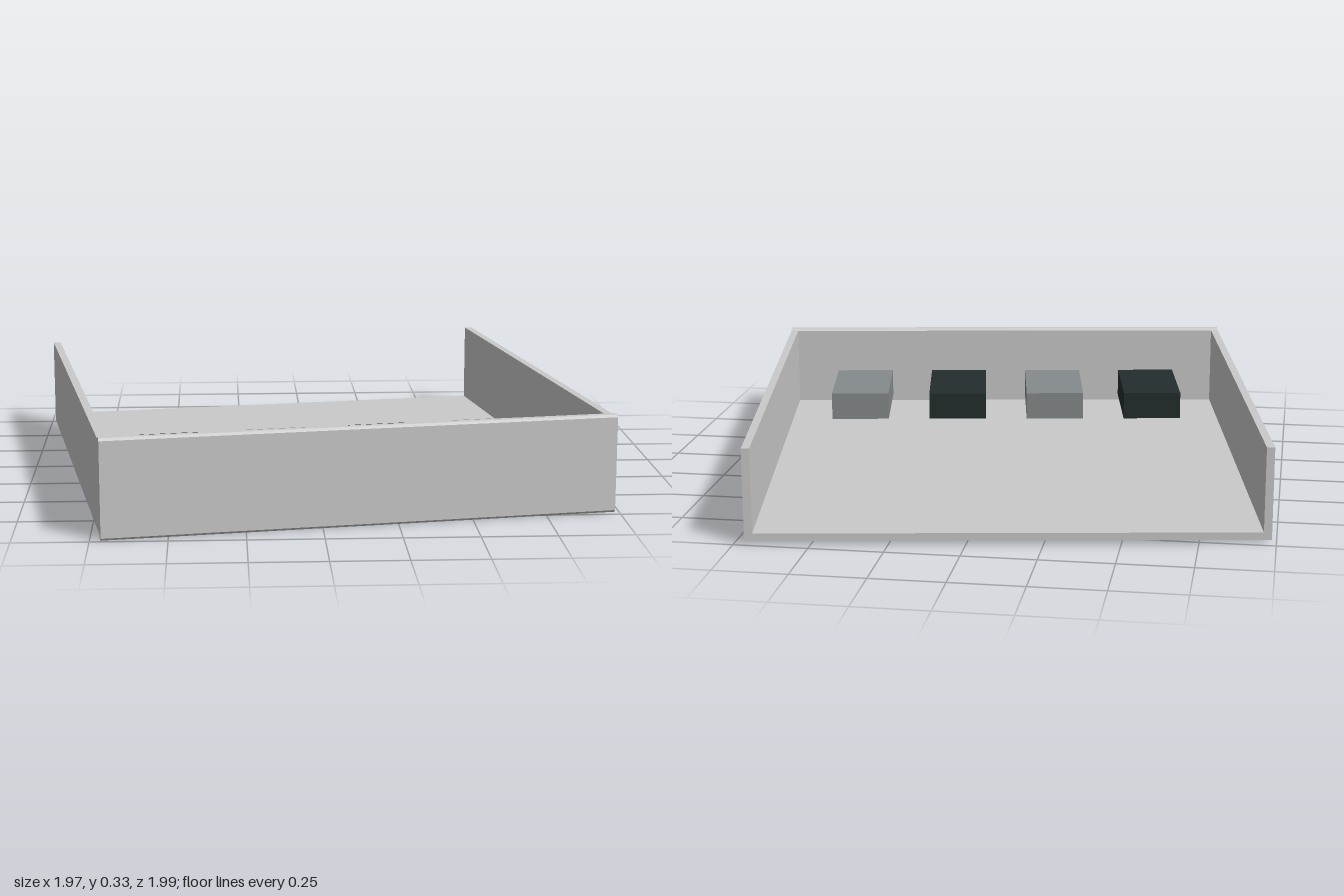
import * as THREE from 'three';

export function createModel() {
  const shell = new THREE.MeshStandardMaterial({ color: 0xcacaca });
  shell.name = 'light grey shell';
  const grey = new THREE.MeshStandardMaterial({ color: 0x858b8c });
  grey.name = 'mid grey block';
  const dark = new THREE.MeshStandardMaterial({ color: 0x222d2d });
  dark.name = 'dark block';

  const group = new THREE.Group();
  group.name = 'tray';

  const W = 1.72, D = 1.742;     // outer width and depth
  const side = 0.027, front = 0.037; // wall thicknesses
  const zFront = D / 2 - front;  // inner face of the front wall

  function box(name, material, x0, x1, y0, y1, z0, z1) {
    const mesh = new THREE.Mesh(new THREE.BoxGeometry(x1 - x0, y1 - y0, z1 - z0), material);
    mesh.position.set((x0 + x1) / 2, (y0 + y1) / 2, (z0 + z1) / 2);
    mesh.name = name;
    group.add(mesh);
  }

  // Floor and side walls, open at the back
  box('floor', shell, -W / 2 + side, W / 2 - side, 0.012, 0.038, -D / 2, zFront);
  box('leftWall', shell, W / 2 - side, W / 2, 0.012, 0.326, -D / 2, zFront);
  box('rightWall', shell, -W / 2, -W / 2 + side, 0.012, 0.326, -D / 2, zFront);

  // Front wall: chamfered cross-section drawn in (z, y), swept across the width
  const h = 0.334, c = 0.008;
  const section = new THREE.Shape([
    [c, 0], [front - c, 0], [front, c], [front, h - c],
    [front - c, h], [c, h], [0, h - c], [0, c],
  ].map(([a, b]) => new THREE.Vector2(a, b)));
  const wallGeometry = new THREE.ExtrudeGeometry(section, { depth: W, bevelEnabled: false });
  wallGeometry.rotateY(Math.PI / 2);
  wallGeometry.translate(-W / 2, 0, D / 2);
  const frontWall = new THREE.Mesh(wallGeometry, shell);
  frontWall.name = 'frontWall';
  group.add(frontWall);

  // Row of four raised blocks, alternating dark and grey
  for (let i = 0; i < 4; i++) {
    const x = (i - 1.5) * 0.369 - 0.002;
    box('block' + (i + 1), i % 2 ? grey : dark, x - 0.107, x + 0.107, 0.107, 0.206, 0.29, 0.658);
  }

  // The whole tray is turned slightly
  group.rotation.y = 0.1565;
  const model = new THREE.Group();
  model.name = 'model';
  model.add(group);
  return model;
}
